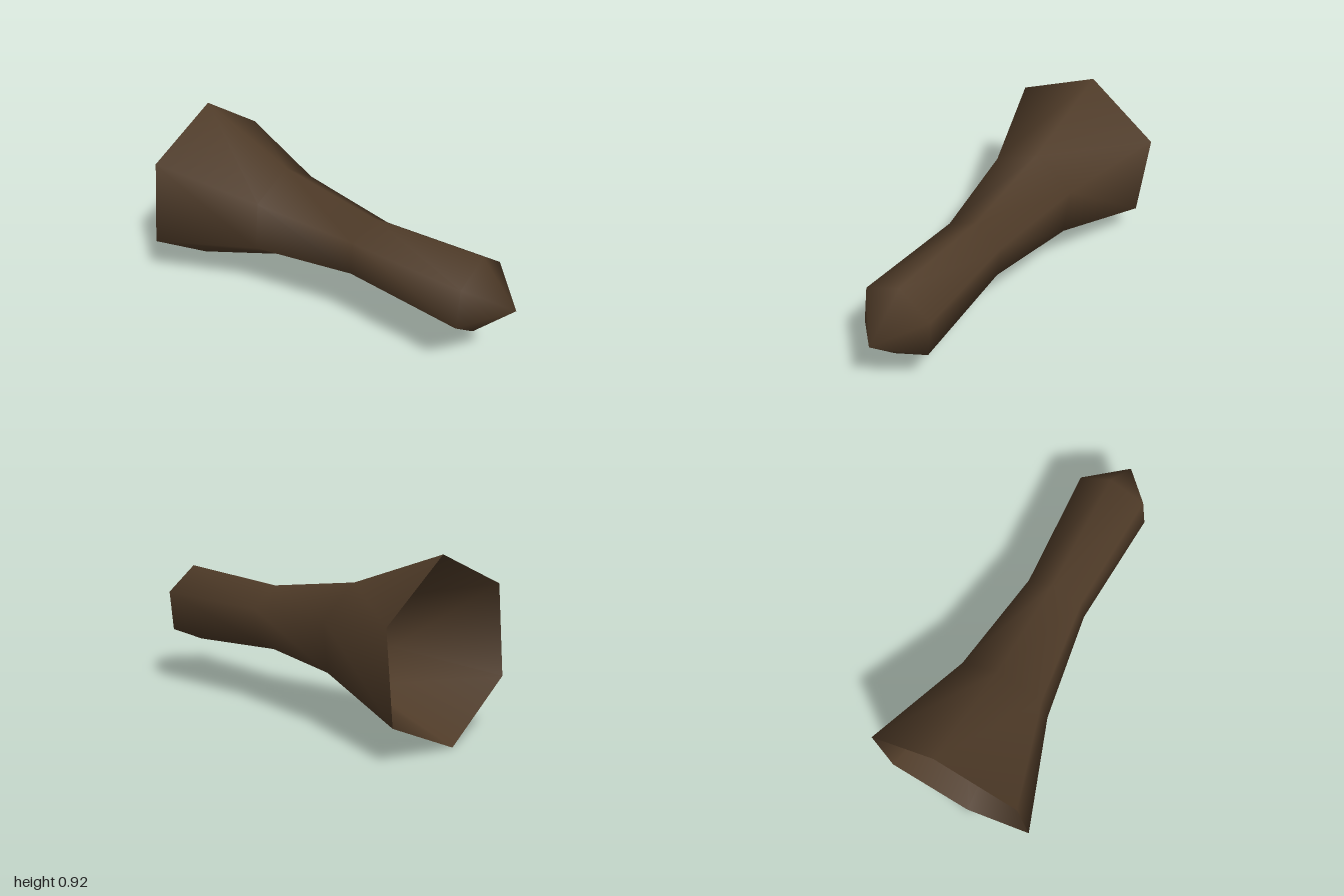
import * as THREE from 'three';

export function createModel() {
  const bark = new THREE.MeshStandardMaterial({ color: 0x4f3b28, side: THREE.DoubleSide });
  bark.name = 'dark brown bark';

  // Hexagonal rings along the limb, back to front: centre x, y, z and radius
  const rings = [
    [0, 0.461, -0.965, 0.461],
    [0.047, 0.46, -0.415, 0.26],
    [0.097, 0.455, 0.143, 0.175],
    [0.15, 0.446, 0.787, 0.212],
  ];
  const sides = 6;
  const twist = 0.11; // turn of the hexagon about its axis
  const lean = 0.082; // rings stay square to the leaning axis
  const positions = [];
  const index = [];

  for (const [cx, cy, cz, r] of rings) {
    for (let i = 0; i < sides; i++) {
      const a = (i / sides) * Math.PI * 2 + twist;
      const dx = Math.sin(a) * r;
      positions.push(cx + dx, cy + Math.cos(a) * r, cz - dx * lean);
    }
  }

  // Pointed front end
  const tip = positions.length / 3;
  positions.push(0.166, 0.445, 1);

  // Walls between rings, sharing vertices so the shading stays smooth
  for (let j = 0; j < rings.length; j++) {
    for (let i = 0; i < sides; i++) {
      const a = j * sides + i;
      const b = j * sides + ((i + 1) % sides);
      if (j === rings.length - 1) index.push(a, tip, b);
      else index.push(a, a + sides, b, b, a + sides, b + sides);
    }
  }

  const geometry = new THREE.BufferGeometry();
  geometry.setAttribute('position', new THREE.Float32BufferAttribute(positions, 3));
  geometry.setIndex(index);
  geometry.computeVertexNormals();

  // Hollow limb, open at the wide back end
  const limb = new THREE.Mesh(geometry, bark);
  limb.name = 'branch';

  const group = new THREE.Group();
  group.name = 'branchStub';
  group.add(limb);
  return group;
}
